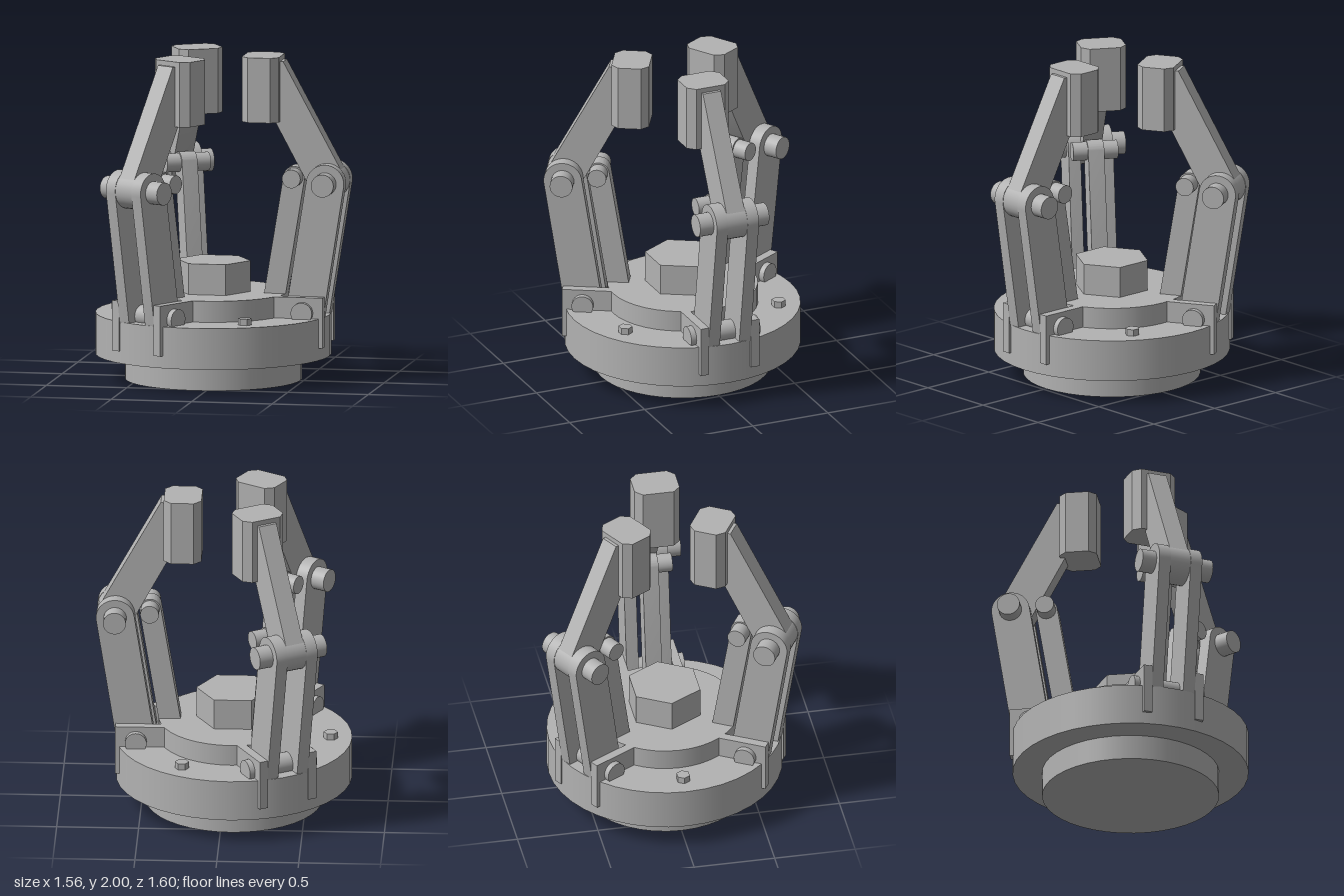
import * as THREE from 'three';
import { toCreasedNormals } from 'three/addons/utils/BufferGeometryUtils.js';

export function createModel() {
  const model = new THREE.Group();
  model.name = 'roboticGripper';
  const grey = new THREE.MeshStandardMaterial({ color: 0xb2b2b2 });
  grey.name = 'machined grey';

  const add = (parent, name, geometry, x = 0, y = 0, z = 0) => {
    const mesh = new THREE.Mesh(geometry, grey);
    mesh.name = name;
    mesh.position.set(x, y, z);
    parent.add(mesh);
    return mesh;
  };

  // Upright disc or prism between two heights
  const disc = (parent, name, r, y0, y1, sides, x = 0, z = 0) =>
    add(parent, name, new THREE.CylinderGeometry(r, r, y1 - y0, sides), x, (y0 + y1) / 2, z);

  // Horizontal pin along z
  const pin = (parent, name, r, halfLength, x, y) => {
    const geometry = new THREE.CylinderGeometry(r, r, halfLength * 2, 28);
    geometry.rotateX(Math.PI / 2);
    return add(parent, name, geometry, x, y, 0);
  };

  // Side profile extruded between two z values
  const plate = (parent, name, shape, z0, z1) => {
    const geometry = new THREE.ExtrudeGeometry(shape, {
      depth: z1 - z0, bevelEnabled: false, curveSegments: 14,
    });
    return add(parent, name, toCreasedNormals(geometry, 0.5), 0, 0, z0);
  };

  const polygon = (points) => new THREE.Shape(points.map(([x, y]) => new THREE.Vector2(x, y)));

  // Round-ended bar profile from a lower to an upper pivot
  const barShape = (x0, y0, x1, y1, r) => {
    const a = Math.atan2(y1 - y0, x1 - x0);
    const shape = new THREE.Shape();
    shape.absarc(x1, y1, r, a - Math.PI / 2, a + Math.PI / 2, false);
    shape.absarc(x0, y0, r, a + Math.PI / 2, a + Math.PI * 1.5, false);
    shape.closePath();
    return shape;
  };

  // Everything turns about the palm axis, slightly off the origin
  const hub = new THREE.Group();
  hub.name = 'hub';
  hub.position.x = -0.06;
  model.add(hub);

  // Palm: stacked discs and central hex nut
  disc(hub, 'basePlinth', 0.54, 0, 0.155, 40);
  disc(hub, 'palmDisc', 0.72, 0.155, 0.41, 40);
  disc(hub, 'raisedRing', 0.46, 0.41, 0.54, 40);
  const nut = disc(hub, 'centreHexNut', 0.23, 0.54, 0.73, 6);
  nut.rotation.y = Math.PI / 6;
  nut.geometry = toCreasedNormals(nut.geometry, 0.3);

  // Finger profiles, measured outward from the palm axis
  const outerBar = barShape(0.595, 0.44, 0.72, 1.235, 0.117);
  const innerBar = barShape(0.375, 0.44, 0.51, 1.26, 0.066);
  const distal = polygon([
    [0.37, 1.97], [0.37, 1.65], [0.395, 1.6], [0.61, 1.2],
    [0.70, 1.13], [0.80, 1.16], [0.832, 1.26], [0.445, 1.97],
  ]);
  const bracket = polygon([
    [0.41, 0.40], [0.69, 0.40], [0.69, 0.23], [0.717, 0.23], [0.717, 0.54], [0.41, 0.54],
  ]);
  // Fingertip plan: rectangle with cut corners
  const tipPlan = polygon([
    [0.195, -0.095], [0.24, -0.14], [0.38, -0.14], [0.425, -0.095],
    [0.425, 0.095], [0.38, 0.14], [0.24, 0.14], [0.195, 0.095],
  ]);

  for (let i = 0; i < 3; i++) {
    const finger = new THREE.Group();
    finger.name = 'finger' + (i + 1);
    finger.rotation.y = (i * Math.PI * 2) / 3;
    hub.add(finger);

    // Paired outer links and mounting brackets
    for (const s of [-1, 1]) {
      const span = (a, b) => (s > 0 ? [a, b] : [-b, -a]);
      plate(finger, 'outerLink', outerBar, ...span(0.065, 0.14));
      plate(finger, 'mountBracket', bracket, ...span(0.14, 0.195));
    }
    plate(finger, 'innerLink', innerBar, -0.05, 0.05);
    plate(finger, 'distalLink', distal, -0.06, 0.06);

    // Pivots
    pin(finger, 'knuckleBoss', 0.115, 0.139, 0.72, 1.235);
    pin(finger, 'knucklePin', 0.07, 0.23, 0.72, 1.235);
    pin(finger, 'innerKnucklePin', 0.057, 0.14, 0.51, 1.26);
    pin(finger, 'basePin', 0.066, 0.23, 0.59, 0.445);

    // Gripping pad at the fingertip
    const tip = new THREE.ExtrudeGeometry(tipPlan, { depth: 0.4, bevelEnabled: false });
    tip.rotateX(-Math.PI / 2);
    add(finger, 'fingertip', tip, 0, 1.6, 0);

    // Hex bolt between neighbouring fingers
    const a = Math.PI / 3 + (i * Math.PI * 2) / 3;
    const bolt = disc(hub, 'hexBolt', 0.043, 0.41, 0.45, 6, Math.cos(a) * 0.59, Math.sin(a) * 0.59);
    bolt.rotation.y = Math.PI / 6;
    bolt.geometry = toCreasedNormals(bolt.geometry, 0.3);
  }
  return model;
}
